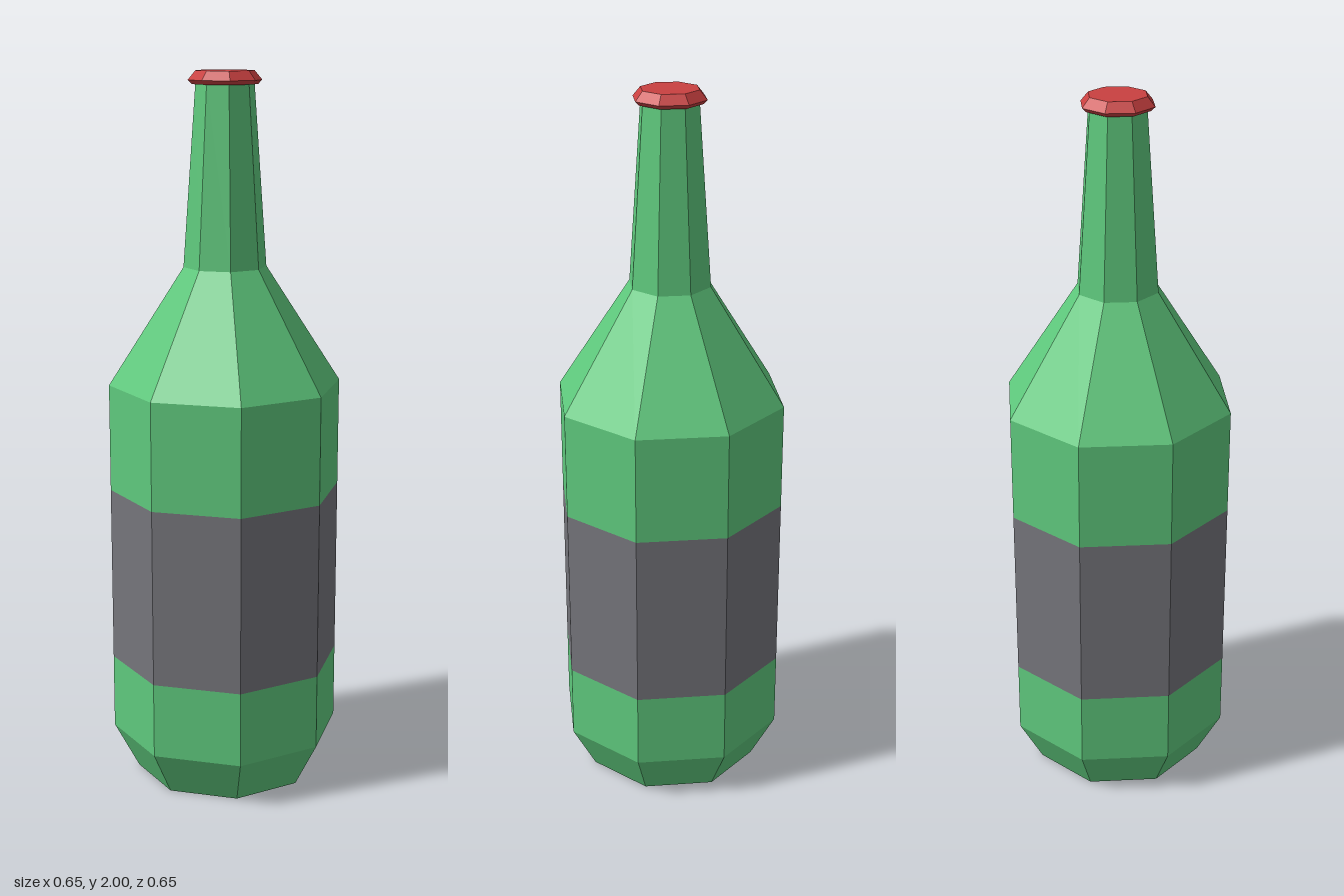
import * as THREE from 'three';

const SIDES = 8;

// Faceted octagonal solid or band from [radius, height] pairs, listed bottom to top
function facetedPart(name, color, profile) {
  const points = profile.map(([r, y]) => new THREE.Vector2(r, y));
  const material = new THREE.MeshStandardMaterial({ color, flatShading: true });
  const mesh = new THREE.Mesh(new THREE.LatheGeometry(points, SIDES), material);
  mesh.name = name;
  return mesh;
}

export function createModel() {
  const bottle = new THREE.Group();
  bottle.name = 'bottle';

  const green = 0x5fc97d;
  const labelGrey = 0x75757b;
  const red = 0xc94040;
  const bodyRadius = 0.325;
  const labelBottom = 0.345;
  const labelTop = 0.845;

  // Closed base with a chamfered foot
  bottle.add(facetedPart('lowerBody', green, [
    [0, 0], [0.255, 0], [bodyRadius, 0.132], [bodyRadius, labelBottom],
  ]));

  // Label band flush with the glass
  bottle.add(facetedPart('label', labelGrey, [
    [bodyRadius, labelBottom], [bodyRadius, labelTop],
  ]));

  // Upper body and sloping shoulder
  bottle.add(facetedPart('shoulder', green, [
    [bodyRadius, labelTop], [bodyRadius, 1.147], [0.115, 1.473],
  ]));

  // Tapering neck, closed by the cap
  bottle.add(facetedPart('neck', green, [
    [0.115, 1.473], [0.08, 1.97],
  ]));

  // Cap with a flared rim
  bottle.add(facetedPart('cap', red, [
    [0, 1.964], [0.09, 1.964], [0.101, 1.975], [0.08, 2], [0, 2],
  ]));

  return bottle;
}
